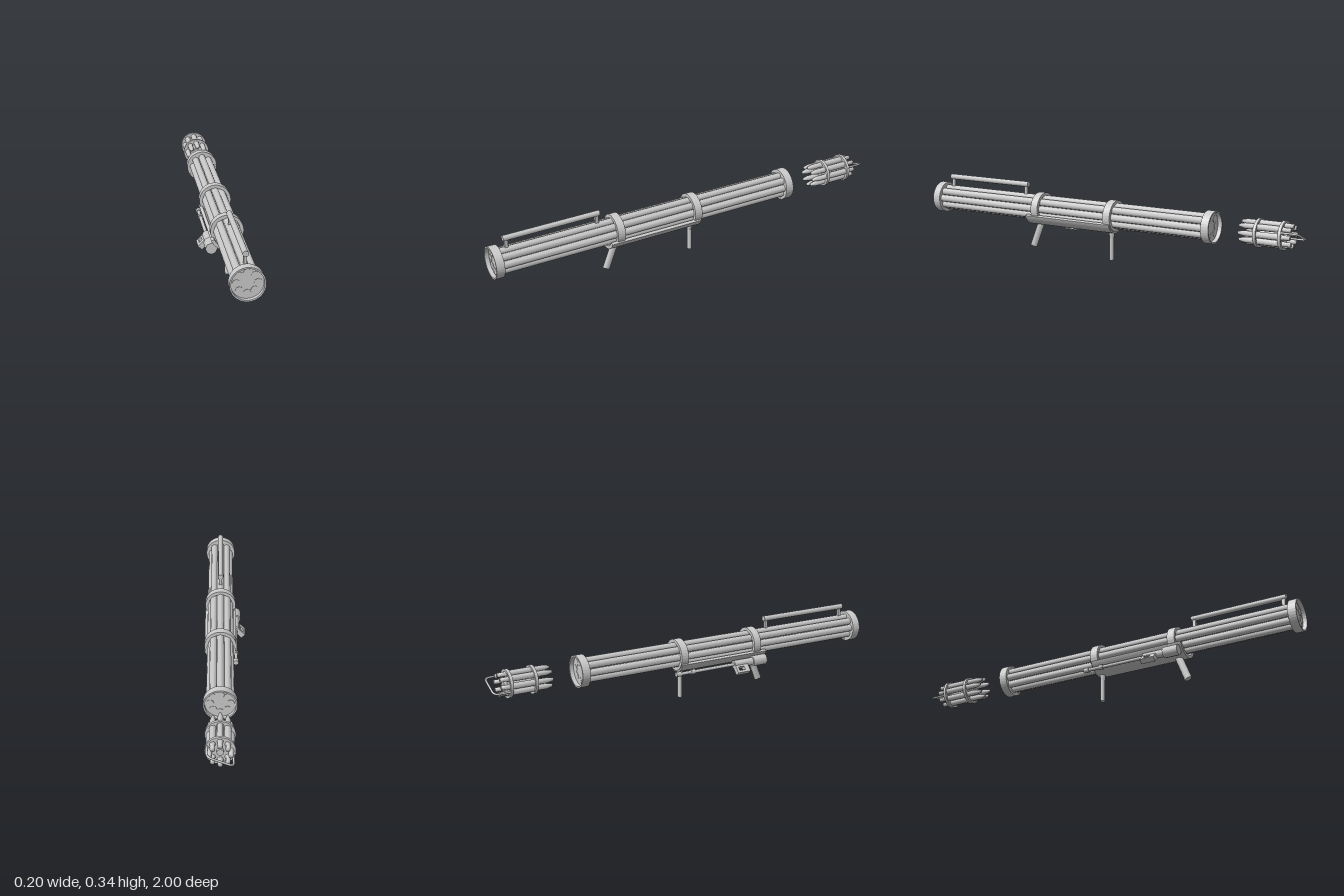
import * as THREE from 'three';

const CX = 0.022, CY = 0.218;      // bore axis of the launcher
const RING = 0.046;                // circle the eight tubes sit on

export function createModel() {
  const root = new THREE.Group();
  const mat = new THREE.MeshStandardMaterial({ color: 0xcccccc, side: THREE.DoubleSide });

  const add = (name, geo, x = 0, y = 0, z = 0, parent = root) => {
    const m = new THREE.Mesh(geo, mat);
    m.name = name;
    m.position.set(x, y, z);
    parent.add(m);
    return m;
  };
  const group = (name, x, y) => {
    const g = new THREE.Group();
    g.name = name;
    g.position.set(x, y, 0);
    root.add(g);
    return g;
  };
  // cylinder along z, between two depths
  const rod = (name, parent, r, z0, z1, x = 0, y = 0, sides = 8) =>
    add(name, new THREE.CylinderGeometry(r, r, z1 - z0, sides).rotateX(Math.PI / 2), x, y, (z0 + z1) / 2, parent);
  // hollow ring along z
  const ring = (name, parent, rIn, rOut, z0, z1) => {
    const s = new THREE.Shape().absarc(0, 0, rOut, 0, Math.PI * 2);
    s.holes.push(new THREE.Path().absarc(0, 0, rIn, 0, Math.PI * 2, true));
    return add(name, new THREE.ExtrudeGeometry(s, { depth: z1 - z0, bevelEnabled: false, curveSegments: 18 }), 0, 0, z0, parent);
  };
  const around = (fn) => {
    for (let i = 0; i < 8; i++) {
      const a = i * Math.PI / 4;
      fn(RING * Math.cos(a), RING * Math.sin(a));
    }
  };

  // barrel cluster with bands and recessed end plates
  const barrel = group('barrelCluster', CX, CY);
  around((x, y) => rod('tube', barrel, 0.018, -0.552, 0.982, x, y));
  rod('core', barrel, 0.032, -0.54, 0.97, 0, 0, 16);
  ring('frontCollar', barrel, 0.07, 0.077, 0.96, 1);
  ring('rearCollar', barrel, 0.07, 0.077, -0.57, -0.53);
  rod('frontPlate', barrel, 0.071, 0.962, 0.98, 0, 0, 18);
  rod('rearPlate', barrel, 0.071, -0.55, -0.532, 0, 0, 18);
  ring('frontBand', barrel, 0.06, 0.0765, 0.36, 0.398);
  ring('rearBand', barrel, 0.06, 0.0765, -0.05, -0.012);

  // curved cradle under the tubes
  const a0 = -Math.PI + 0.4, a1 = -0.4;
  const arc = new THREE.Shape();
  arc.absarc(0, 0, 0.0835, a0, a1, false);
  arc.absarc(0, 0, 0.068, a1, a0, true);
  add('cradle', new THREE.ExtrudeGeometry(arc, { depth: 0.475, bevelEnabled: false, curveSegments: 12 }), 0, 0, -0.045, barrel);

  // top carrying handle
  const carry = group('carryHandle', CX, 0);
  rod('carryBar', carry, 0.0138, 0.458, 0.935, 0, 0.327);
  for (const z of [0.472, 0.92]) add('carryPost', new THREE.BoxGeometry(0.014, 0.055, 0.016), 0, 0.3, z, carry);

  // slanted pistol grip
  const grip = add('pistolGrip', new THREE.CylinderGeometry(0.0145, 0.0145, 0.125, 8).scale(1, 1, 1.3), CX, 0.08, 0.408);
  grip.rotation.x = -0.37;

  // upright foregrip with a wider root
  add('foregrip', new THREE.CylinderGeometry(0.0135, 0.0135, 0.11, 8).scale(1, 1, 0.8), CX, 0.055, -0.021);
  add('foregripRoot', new THREE.CylinderGeometry(0.018, 0.0135, 0.035, 8).scale(0.9, 1, 0.85), CX, 0.127, -0.021);

  // side sight: stepped body with a thin rear rod
  const sight = group('sight', -0.053, 0.144);
  rod('sightHead', sight, 0.0275, 0.345, 0.42);
  rod('sightBody', sight, 0.02, 0.24, 0.345);
  rod('sightRod', sight, 0.0085, -0.06, 0.24);
  rod('sightCollar', sight, 0.0125, 0, 0.02);
  rod('sightEnd', sight, 0.0125, -0.082, -0.055);

  // square bracket hanging diagonally from the sight
  const frame = new THREE.Shape([[0.01, 0.24], [0.055, 0.24], [0.055, 0.31], [0.01, 0.31]].map(p => new THREE.Vector2(...p)));
  frame.holes.push(new THREE.Path([[0.024, 0.253], [0.024, 0.285], [0.043, 0.285], [0.043, 0.253]].map(p => new THREE.Vector2(...p))));
  const bracket = add('sightBracket',
    new THREE.ExtrudeGeometry(frame, { depth: 0.026, bevelEnabled: false })
      .translate(0, 0, -0.013).rotateX(Math.PI / 2), 0, 0, 0, sight);
  bracket.rotation.z = -Math.PI * 0.75;

  // detached rocket pack behind the barrels
  const pack = group('rocketPack', CX, CY);
  const profile = [[0, -0.955], [0.011, -0.955], [0.011, -0.925], [0.0155, -0.91], [0.0155, -0.79],
    [0.0135, -0.78], [0.0135, -0.735], [0.007, -0.705], [0, -0.703]].map(p => new THREE.Vector2(...p));
  around((x, y) => add('rocket', new THREE.LatheGeometry(profile, 8).rotateX(Math.PI / 2), x, y, 0, pack));
  for (const z of [-0.917, -0.797]) {
    ring('packBand', pack, 0.056, 0.067, z, z + 0.014);
    rod('packPlate', pack, 0.057, z + 0.003, z + 0.011, 0, 0, 18);
  }
  rod('packSpindle', pack, 0.016, -0.93, -0.78);

  // rear pull loop
  const path = new THREE.CurvePath();
  const V = (x, z) => new THREE.Vector3(x, 0, z);
  path.add(new THREE.LineCurve3(V(-0.061, -0.905), V(-0.061, -0.97)));
  path.add(new THREE.QuadraticBezierCurve3(V(-0.061, -0.97), V(-0.061, -0.995), V(-0.036, -0.995)));
  path.add(new THREE.LineCurve3(V(-0.036, -0.995), V(0.036, -0.995)));
  path.add(new THREE.QuadraticBezierCurve3(V(0.036, -0.995), V(0.061, -0.995), V(0.061, -0.97)));
  path.add(new THREE.LineCurve3(V(0.061, -0.97), V(0.061, -0.905)));
  const loop = add('pullLoop', new THREE.TubeGeometry(path, 48, 0.005, 8), 0, 0, 0, pack);
  loop.rotation.z = Math.PI / 8;

  return root;
}
